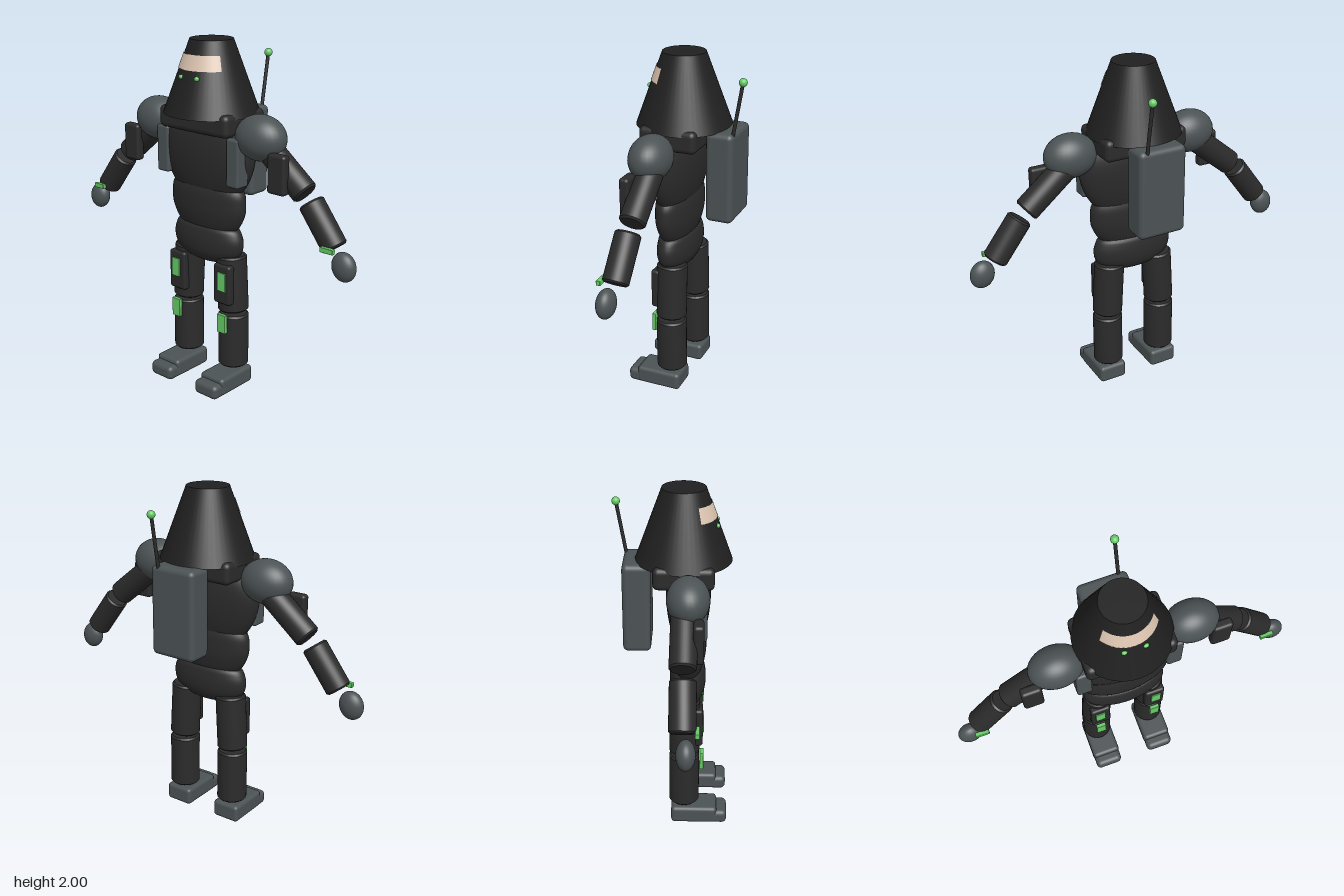
import * as THREE from 'three';
import { RoundedBoxGeometry } from 'three/addons/geometries/RoundedBoxGeometry.js';
import { toCreasedNormals } from 'three/addons/utils/BufferGeometryUtils.js';

const material = (name, color, side = THREE.FrontSide) => {
  const m = new THREE.MeshStandardMaterial({ color, side });
  m.name = name;
  return m;
};

export function createModel() {
  const suit = material('suit black', 0x2b2b2b);
  const hoodBlack = material('hood black', 0x202020);
  const armour = material('armour grey', 0x4c5355);
  const glow = material('signal green', 0x66cc66);
  const skin = material('skin', 0xdcc4b0, THREE.DoubleSide);

  const model = new THREE.Group();
  model.name = 'armouredFigure';

  const add = (name, geometry, mat, x = 0, y = 0, z = 0) => {
    const mesh = new THREE.Mesh(geometry, mat);
    mesh.name = name;
    mesh.position.set(x, y, z);
    model.add(mesh);
    return mesh;
  };

  // Box given by its lower and upper limits on each axis
  const box = (name, mat, [x0, x1], [y0, y1], [z0, z1], r = 0.02) =>
    add(name, new RoundedBoxGeometry(x1 - x0, y1 - y0, z1 - z0, 3, r), mat,
      (x0 + x1) / 2, (y0 + y1) / 2, (z0 + z1) / 2);

  const ellipsoid = (name, mat, x, y, z, rx, ry, rz) =>
    add(name, new THREE.SphereGeometry(1, 32, 20).scale(rx, ry, rz), mat, x, y, z);

  // Round bar with small bevelled rims between two points
  const limb = (name, mat, from, to, r, bevel = 0.01) => {
    const a = new THREE.Vector3(...from), b = new THREE.Vector3(...to);
    const h = a.distanceTo(b) / 2;
    const profile = [[0, -h], [r - bevel, -h], [r, -h + bevel], [r, h - bevel], [r - bevel, h], [0, h]]
      .map(([px, py]) => new THREE.Vector2(px, py));
    const geometry = toCreasedNormals(new THREE.LatheGeometry(profile, 32), 0.6);
    const mid = a.clone().add(b).multiplyScalar(0.5);
    const mesh = add(name, geometry, mat, mid.x, mid.y, mid.z);
    mesh.quaternion.setFromUnitVectors(new THREE.Vector3(0, 1, 0), b.sub(a).normalize());
    return mesh;
  };

  // Smooth round body section, flattened front to back
  const bodySection = (name, points, flatten) => {
    const curve = new THREE.SplineCurve(points.map(([r, y]) => new THREE.Vector2(r, y)));
    const profile = curve.getPoints(28);
    profile.forEach((p) => { p.x = Math.max(p.x, 0); });
    add(name, new THREE.LatheGeometry(profile, 48).scale(1, 1, flatten), suit, 0, 0, 0.09);
  };

  // Torso
  bodySection('chest', [[0, 1.08], [0.14, 1.1], [0.24, 1.18], [0.3, 1.28], [0.325, 1.39],
    [0.31, 1.49], [0.25, 1.56], [0.14, 1.61], [0, 1.63]], 0.385);
  bodySection('abdomen', [[0, 0.9], [0.13, 0.91], [0.21, 0.96], [0.255, 1.04], [0.263, 1.11],
    [0.25, 1.18], [0.18, 1.24], [0, 1.27]], 0.4);
  bodySection('pelvis', [[0, 0.735], [0.09, 0.742], [0.18, 0.77], [0.232, 0.815], [0.246, 0.87],
    [0.236, 0.92], [0.205, 0.96], [0.1, 0.98], [0, 0.98]], 0.425);
  box('collar', suit, [-0.25, 0.25], [1.505, 1.63], [-0.1, 0.23], 0.03);

  // Hood with face opening and eyes
  add('hood', new THREE.CylinderGeometry(0.12, 0.267, 0.4, 48), hoodBlack, 0, 1.8, 0.062);
  const hoodRadius = (y) => 0.12 + (2 - y) * 0.3675;
  add('face', new THREE.CylinderGeometry(hoodRadius(1.925) + 0.004, hoodRadius(1.845) + 0.004,
    0.08, 32, 1, true, -1.03, 2.06), skin, 0, 1.885, 0.062);

  // Backpack and antenna
  box('backpack', armour, [-0.143, 0.143], [1.09, 1.605], [-0.272, -0.115], 0.03);
  limb('antenna', suit, [0.095, 1.59, -0.258], [0.095, 1.88, -0.308], 0.01, 0.002);
  ellipsoid('antennaTip', glow, 0.095, 1.89, -0.31, 0.023, 0.023, 0.023);

  for (const s of [-1, 1]) {
    const side = s > 0 ? 'left' : 'right';
    const span = (a, b) => (s > 0 ? [a, b] : [-b, -a]);

    ellipsoid(side + 'Eye', glow, s * 0.056, 1.807, 0.243, 0.016, 0.013, 0.013);
    box(side + 'ChestPlate', armour, span(0.215, 0.302), [1.235, 1.505], [0.1, 0.195], 0.015);

    // Arm
    ellipsoid(side + 'Shoulder', armour, s * 0.375, 1.515, 0.092, 0.153, 0.125, 0.115);
    limb(side + 'UpperArm', suit, [s * 0.36, 1.505, 0.075], [s * 0.66, 1.26, 0.07], 0.072);
    limb(side + 'Forearm', suit, [s * 0.695, 1.225, 0.072], [s * 0.858, 1.01, 0.072], 0.07);
    box(side + 'ArmPad', suit, span(0.48, 0.595), [1.25, 1.465], [0.12, 0.176], 0.018);
    box(side + 'WristLight', glow, span(0.82, 0.9), [1.005, 1.033], [0.135, 0.16], 0.004);
    ellipsoid(side + 'Hand', armour, s * 0.927, 0.93, 0.09, 0.069, 0.08, 0.05)
      .rotation.z = s * 0.25;

    // Leg
    limb(side + 'Thigh', suit, [s * 0.158, 0.8, 0.075], [s * 0.176, 0.47, 0.075], 0.088);
    limb(side + 'Shin', suit, [s * 0.176, 0.45, 0.075], [s * 0.176, 0.13, 0.075], 0.088);
    box(side + 'ThighPad', suit, span(0.112, 0.232), [0.53, 0.765], [0.13, 0.18], 0.015);
    box(side + 'ThighLight', glow, span(0.147, 0.207), [0.61, 0.722], [0.178, 0.187], 0.003);
    box(side + 'KneeLight', glow, span(0.147, 0.207), [0.355, 0.467], [0.165, 0.188], 0.004);

    // Boot
    box(side + 'Boot', armour, span(0.09, 0.262), [0.005, 0.11], [0, 0.27], 0.022);
    box(side + 'BootToe', armour, span(0.093, 0.259), [0, 0.085], [0.22, 0.33], 0.028);
  }

  return model;
}
